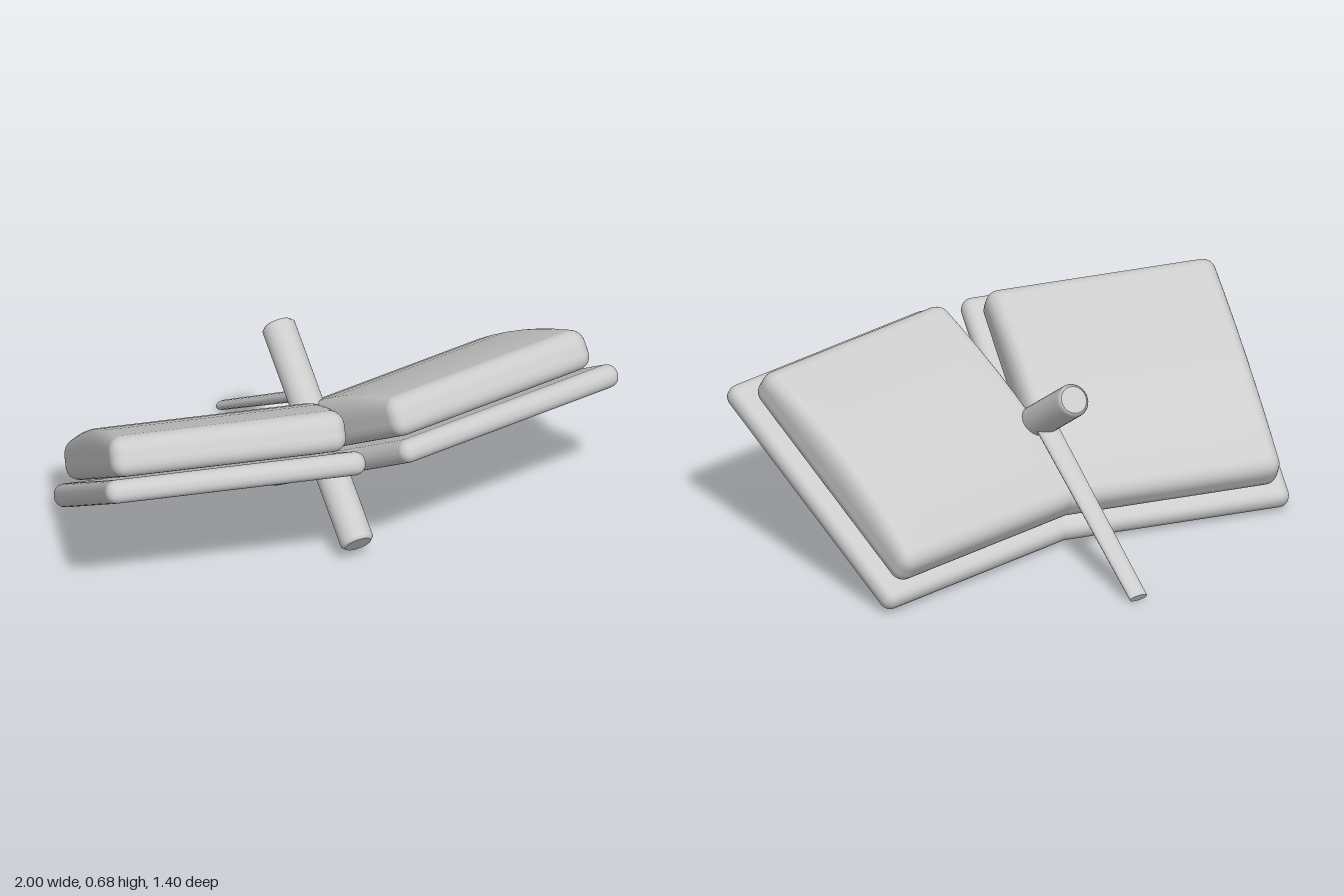
import * as THREE from 'three';
import { mergeVertices } from 'three/addons/utils/BufferGeometryUtils.js';

const YAW = 0.2, PITCH = -0.55;

// Rounded slab of size w, h, d with edge radius r; its upper face swells by hump along z.
function roundedSlab(w, h, d, r, hump = 0) {
  const box = new THREE.BoxGeometry(2, 2, 2, 16, 16, 16);
  box.deleteAttribute('uv');
  box.deleteAttribute('normal');
  const half = [w / 2, h / 2, d / 2];
  const pos = box.attributes.position;
  const core = new THREE.Vector3(), corner = new THREE.Vector3();
  for (let i = 0; i < pos.count; i++) {
    for (let a = 0; a < 3; a++) {
      const u = pos.getComponent(i, a);
      core.setComponent(a, THREE.MathUtils.clamp(u * 2, -1, 1) * (half[a] - r));
      corner.setComponent(a, Math.sign(u) * Math.max(0, Math.abs(u) * 2 - 1));
    }
    core.addScaledVector(corner.normalize(), r);
    if (core.y > 0) core.y += hump * (core.y / half[1]) * (1 - (core.z / half[2]) ** 2);
    pos.setXYZ(i, core.x, core.y, core.z);
  }
  const geometry = mergeVertices(box, 1e-4);
  geometry.computeVertexNormals();
  return geometry;
}

// Turns a mesh so that its y axis runs from one point to another.
function placeBetween(mesh, from, to) {
  mesh.position.copy(from).add(to).multiplyScalar(0.5);
  mesh.quaternion.setFromUnitVectors(new THREE.Vector3(0, 1, 0), to.clone().sub(from).normalize());
}

export function createModel() {
  const model = new THREE.Group();
  model.name = 'openBook';
  const grey = new THREE.MeshStandardMaterial({ color: 0xcccccc });
  grey.name = 'light grey';

  function part(name, geometry, parent = model) {
    const mesh = new THREE.Mesh(geometry, grey);
    mesh.name = name;
    parent.add(mesh);
    return mesh;
  }

  // Two mirrored halves, each a cover board with a page block on it
  const cover = roundedSlab(0.95, 0.085, 1.03, 0.04);
  const pages = roundedSlab(0.86, 0.14, 0.92, 0.05, 0.04);
  for (const side of [1, -1]) {
    const half = new THREE.Group();
    half.name = side > 0 ? 'leftHalf' : 'rightHalf';
    half.position.set(side * 0.451, 0.305, 0.178);
    half.rotation.set(PITCH, side * YAW, 0, 'YXZ');
    model.add(half);
    part('cover', cover, half);
    part('pages', pages, half).position.set(0, 0.118, -0.012);
  }

  // Round bar through the fold, with bevelled ends
  const bottom = new THREE.Vector3(0, 0.079, 0.461), top = new THREE.Vector3(0, 0.61, -0.235);
  const len = bottom.distanceTo(top) / 2, radius = 0.061, bevel = 0.012;
  const profile = [
    [0, -len], [radius - bevel, -len], [radius - bevel, -len], [radius, -len + bevel],
    [radius, len - bevel], [radius - bevel, len], [radius - bevel, len], [0, len],
  ].map(([x, y]) => new THREE.Vector2(x, y));
  placeBetween(part('spineBar', new THREE.LatheGeometry(profile, 24)), bottom, top);

  // Flattened, tapering ribbon from the bar out past the back edge
  const ribbonStart = new THREE.Vector3(0, 0.445, 0), ribbonEnd = new THREE.Vector3(0, 0.02, -0.69);
  const ribbon = new THREE.CylinderGeometry(0.035, 0.043, ribbonStart.distanceTo(ribbonEnd), 16);
  ribbon.scale(1, 1, 0.5);
  placeBetween(part('bookmark', ribbon), ribbonStart, ribbonEnd);

  return model;
}
